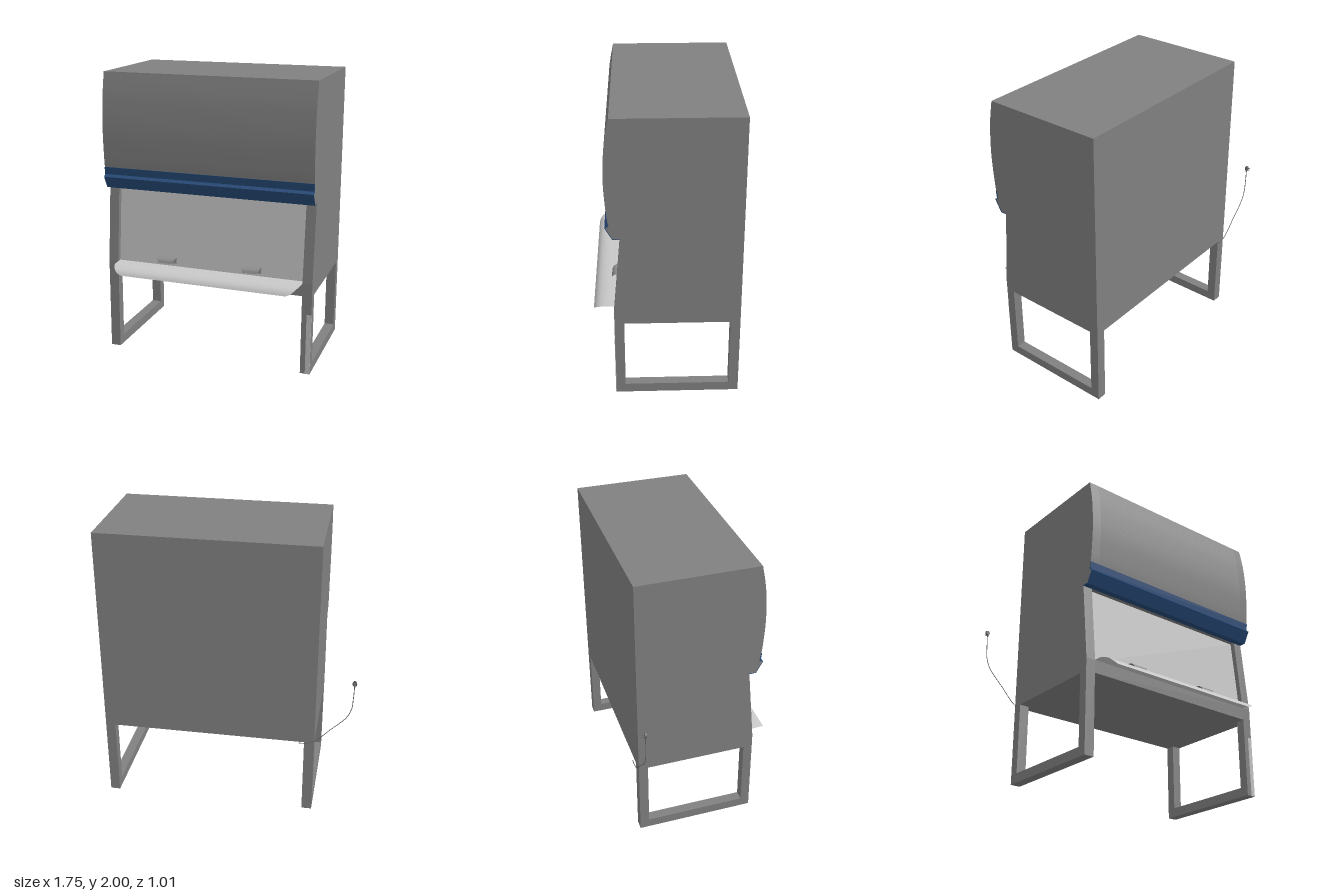
import * as THREE from 'three';

const mat = (name, color, side = THREE.FrontSide) => {
  const m = new THREE.MeshStandardMaterial({ color, side });
  m.name = name;
  return m;
};

// Shape drawn in (z, y); extruded along x from x0 to x1
function extrudeX(shape, x0, x1) {
  const g = new THREE.ExtrudeGeometry(shape, { depth: x1 - x0, bevelEnabled: false, curveSegments: 28 });
  g.rotateY(-Math.PI / 2);
  g.translate(x1, 0, 0);
  return g;
}

const polygon = (pts) => new THREE.Shape(pts.map(([z, y]) => new THREE.Vector2(z, y)));

// Cabinet side profile; recess pushes the window slope back
function cabinetProfile(recess) {
  const s = new THREE.Shape();
  s.moveTo(-0.465, 0.56);
  s.lineTo(0.365, 0.56);
  s.lineTo(0.365, 0.65);
  if (recess) s.lineTo(0.365 - recess, 0.65);
  s.lineTo(0.315 - recess, 1.195);
  s.lineTo(0.36, 1.195);
  s.lineTo(0.405, 1.275);
  s.lineTo(0.385, 1.29);
  s.splineThru([[0.4, 1.42], [0.409, 1.62], [0.396, 1.83], [0.365, 2]].map((p) => new THREE.Vector2(...p)));
  s.lineTo(-0.465, 2);
  s.closePath();
  return s;
}

// Curved sheet from rows of [z, y, inset from each end]
function lipGeometry(x0, x1, rows) {
  const pos = [], idx = [];
  rows.forEach(([z, y, inset], i) => {
    pos.push(x0 + inset, y, z, x1 - inset, y, z);
    if (i) {
      const a = 2 * i - 2;
      idx.push(a, a + 2, a + 1, a + 1, a + 2, a + 3);
    }
  });
  const g = new THREE.BufferGeometry();
  g.setAttribute('position', new THREE.Float32BufferAttribute(pos, 3));
  g.setIndex(idx);
  g.computeVertexNormals();
  return g;
}

export function createModel() {
  const group = new THREE.Group();
  const grey = mat('bodyGrey', 0x808080);
  const light = mat('panelLightGrey', 0xc0c0c0);
  const lightSheet = mat('trayLightGrey', 0xc8c8c8, THREE.DoubleSide);
  const handleGrey = mat('handleGrey', 0x8c8c8c, THREE.DoubleSide);
  const blue = mat('trimBlue', 0x264a78);
  const dark = mat('plugGrey', 0x686868);

  const add = (name, geometry, material, x = 0, y = 0, z = 0, parent = group) => {
    const m = new THREE.Mesh(geometry, material);
    m.name = name;
    m.position.set(x, y, z);
    parent.add(m);
    return m;
  };

  const L = -0.615, R = 0.873, IL = -0.545, IR = 0.805, recess = 0.04;

  // Cabinet: two full cheeks and a recessed middle
  add('cabinetMiddle', extrudeX(cabinetProfile(recess), IL, IR), grey);
  add('rightCheek', extrudeX(cabinetProfile(0), L, IL), grey);
  add('leftCheek', extrudeX(cabinetProfile(0), IR, R), grey);

  // Light window panel on the recessed slope
  const zb = 0.365 - recess, zt = 0.315 - recess;
  add('windowPanel', extrudeX(polygon([
    [zb - 0.002, 0.65], [zb + 0.005, 0.65], [zt + 0.005, 1.195], [zt - 0.002, 1.195],
  ]), IL, IR), light);

  // Blue visor trim wrapped around the lower edge of the hood
  add('visorTrim', extrudeX(polygon([
    [0.315, 1.191], [0.362, 1.191], [0.409, 1.275], [0.391, 1.292], [0.397, 1.343],
    [0.388, 1.343], [0.38, 1.29], [0.4, 1.275], [0.358, 1.197], [0.315, 1.197],
  ]), L, R), blue);

  // Side leg frames
  const frame = polygon([[-0.465, 0], [0.365, 0], [0.365, 0.56], [-0.465, 0.56]]);
  frame.holes.push(new THREE.Path(
    [[-0.4, 0.065], [-0.4, 0.5595], [0.302, 0.5595], [0.302, 0.065]].map((p) => new THREE.Vector2(...p))));
  add('rightLegFrame', extrudeX(frame, L, IL), grey);
  add('leftLegFrame', extrudeX(frame, IR, R), grey);
  add('legFacing', new THREE.BoxGeometry(0.033, 0.43, 0.004), light, 0.8565, 0.215, 0.365);

  // Curved arm rest along the sill
  add('armRest', lipGeometry(IL, IR, [
    [0.325, 0.652, 0], [0.4, 0.651, 0], [0.43, 0.649, 0.003], [0.455, 0.643, 0.012],
    [0.475, 0.634, 0.023], [0.489, 0.622, 0.036], [0.498, 0.609, 0.053], [0.503, 0.597, 0.08],
  ]), lightSheet);

  // Two grips at the bottom of the window
  for (const x of [-0.178, 0.44]) {
    const grip = new THREE.Group();
    grip.name = 'windowGrip';
    grip.position.x = x;
    group.add(grip);
    add('gripPlate', new THREE.BoxGeometry(0.135, 0.045, 0.006), handleGrey, 0, 0.693, 0.327, grip)
      .rotation.x = -0.09;
    add('gripLip', lipGeometry(-0.0675, 0.0675, [
      [0.325, 0.716, 0], [0.358, 0.714, 0], [0.372, 0.707, 0.004], [0.38, 0.697, 0.01], [0.385, 0.683, 0.02],
    ]), handleGrey, 0, 0, 0, grip);
  }

  // Power cord rising behind the cabinet
  const path = new THREE.CatmullRomCurve3([
    [-0.51, 0.56, -0.479], [-0.56, 0.562, -0.481], [-0.615, 0.585, -0.481], [-0.72, 0.69, -0.481],
    [-0.825, 0.8, -0.481], [-0.855, 0.87, -0.481], [-0.862, 0.95, -0.481], [-0.865, 1.045, -0.481],
  ].map((p) => new THREE.Vector3(...p)));
  add('powerCord', new THREE.TubeGeometry(path, 48, 0.0025, 6), dark);

  // Plug with two pins pointing back
  const plug = new THREE.Group();
  plug.name = 'plug';
  plug.position.set(-0.865, 1.065, -0.48);
  group.add(plug);
  const disc = new THREE.CylinderGeometry(0.016, 0.013, 0.014, 16).rotateX(-Math.PI / 2);
  disc.scale(1, 1.25, 1);
  add('plugBody', disc, dark, 0, 0, 0, plug);
  add('plugNeck', new THREE.CylinderGeometry(0.008, 0.004, 0.016, 10), dark, 0, -0.02, 0, plug);
  for (const s of [-1, 1]) {
    add('plugPin', new THREE.BoxGeometry(0.01, 0.003, 0.02), dark, 0, s * 0.007, -0.016, plug);
  }
  return group;
}
